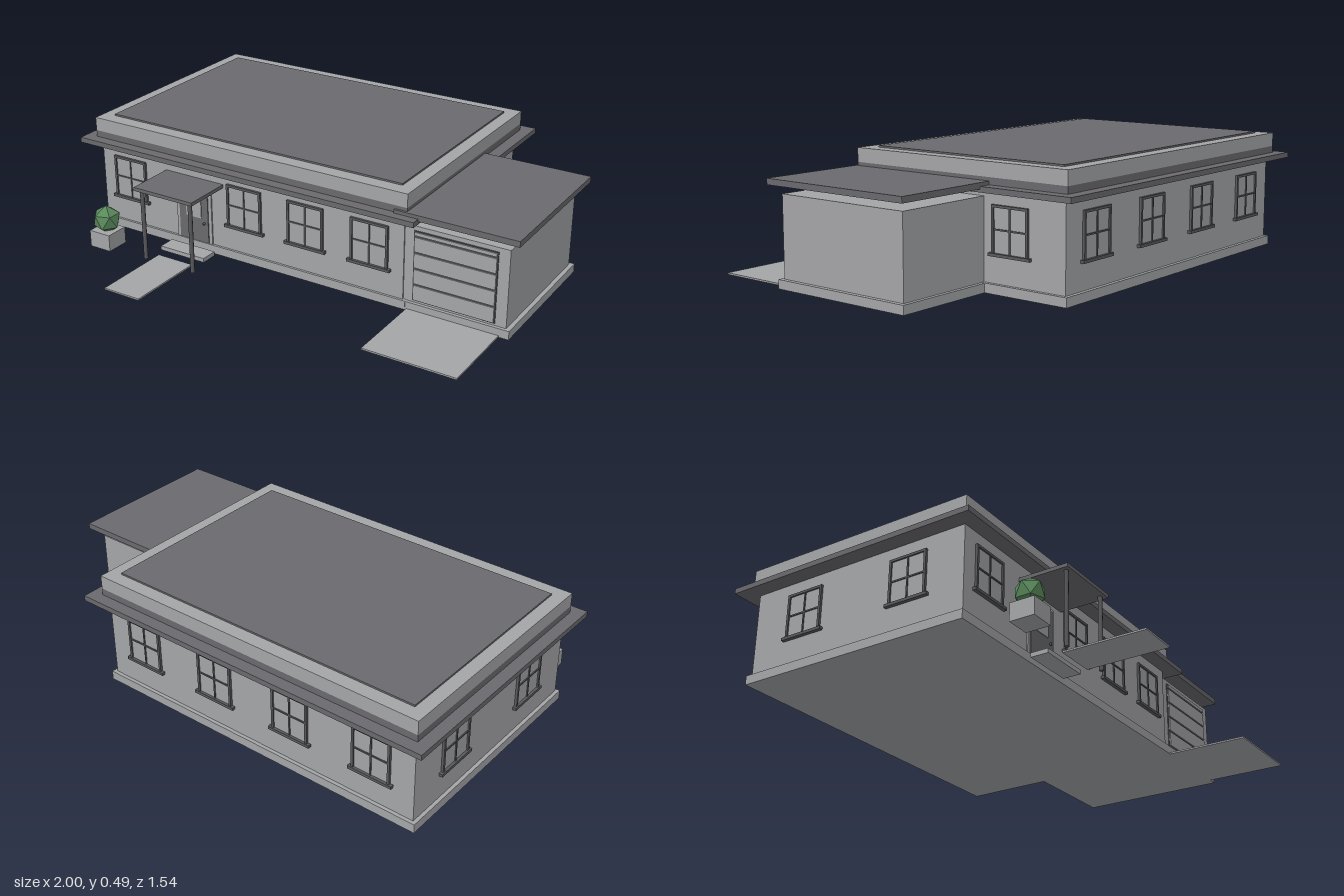
import * as THREE from 'three';

const mat = (name, color) => {
  const m = new THREE.MeshStandardMaterial({ color });
  m.name = name;
  return m;
};

export function createModel() {
  const house = new THREE.Group();
  house.name = 'house';
  const wall = mat('light grey render', 0xa4a5a7);
  const roof = mat('dark grey roofing', 0x6a696d);
  const trim = mat('charcoal trim', 0x59595d);
  const glass = mat('pale glass', 0xa2a4a6);
  const leaf = mat('leaf green', 0x5a8a5c);

  // Box given by its minimum and maximum on each axis
  const box = (name, material, [x0, x1], [y0, y1], [z0, z1], parent = house) => {
    const mesh = new THREE.Mesh(new THREE.BoxGeometry(x1 - x0, y1 - y0, z1 - z0), material);
    mesh.position.set((x0 + x1) / 2, (y0 + y1) / 2, (z0 + z1) / 2);
    mesh.name = name;
    parent.add(mesh);
    return mesh;
  };

  // Main block
  box('mainPlinth', wall, [-0.948, 0.542], [0, 0.037], [-0.715, 0.29]);
  box('mainWalls', wall, [-0.933, 0.527], [0.037, 0.382], [-0.7, 0.28]);
  box('mainEave', roof, [-1, 0.595], [0.38, 0.402], [-0.77, 0.342]);
  box('roofBand', roof, [-0.95, 0.545], [0.402, 0.43], [-0.72, 0.296]);
  box('parapet', wall, [-0.95, 0.545], [0.43, 0.487], [-0.72, 0.296]);
  box('roofDeck', roof, [-0.895, 0.49], [0.487, 0.494], [-0.663, 0.236]);

  // Garage wing
  box('garagePlinth', wall, [0.53, 0.973], [0, 0.036], [-0.345, 0.289]);
  box('garageWalls', wall, [0.52, 0.955], [0.036, 0.356], [-0.33, 0.275]);
  box('garageRoof', roof, [0.493, 1], [0.392, 0.416], [-0.37, 0.306]);

  // Garage door: dark backing showing between four light panels
  box('garageDoorBacking', trim, [0.567, 0.91], [0.045, 0.338], [0.274, 0.279]);
  const seams = [0.045, 0.115, 0.182, 0.249, 0.316];
  for (let i = 0; i < 4; i++) {
    box('garageDoorPanel', wall, [0.571, 0.906], [seams[i] + 0.004, seams[i + 1] - 0.003], [0.276, 0.284]);
  }
  box('garageDoorHead', wall, [0.571, 0.906], [0.32, 0.334], [0.276, 0.284]);

  // Window facing +z, origin on the wall at the foot of the sill
  const addWindow = (x, z, turn) => {
    const g = new THREE.Group();
    g.name = 'window';
    g.position.set(x, 0.14, z);
    g.rotation.y = turn;
    box('pane', glass, [-0.08, 0.08], [0.01, 0.184], [-0.002, 0.004], g);
    for (const s of [-1, 1]) box('frameSide', trim, [s * 0.078 - 0.005, s * 0.078 + 0.005], [0.008, 0.19], [-0.002, 0.01], g);
    box('frameHead', trim, [-0.083, 0.083], [0.18, 0.19], [-0.002, 0.01], g);
    box('mullion', trim, [-0.003, 0.003], [0.01, 0.184], [-0.002, 0.008], g);
    box('crossbar', trim, [-0.08, 0.08], [0.096, 0.102], [-0.002, 0.008], g);
    box('sill', trim, [-0.095, 0.095], [0, 0.012], [-0.002, 0.015], g);
    house.add(g);
  };
  for (const x of [-0.785, -0.203, 0.088, 0.378]) addWindow(x, 0.28, 0);
  for (const x of [-0.75, -0.385, -0.02, 0.345]) addWindow(x, -0.7, Math.PI);
  for (const z of [-0.455, 0.035]) addWindow(-0.933, z, -Math.PI / 2);
  addWindow(0.527, -0.455, Math.PI / 2);

  // Front door
  box('doorSurround', wall, [-0.543, -0.366], [0.037, 0.283], [0.278, 0.286]);
  box('doorLeaf', roof, [-0.527, -0.382], [0.04, 0.27], [0.28, 0.29]);
  box('doorWindow', glass, [-0.491, -0.414], [0.147, 0.222], [0.288, 0.293]);
  const knob = new THREE.Mesh(new THREE.SphereGeometry(0.006, 8, 6), trim);
  knob.position.set(-0.4, 0.127, 0.294);
  knob.name = 'doorKnob';
  house.add(knob);

  // Porch canopy, posts and step
  box('porchCanopy', roof, [-0.596, -0.306], [0.306, 0.321], [0.278, 0.492]);
  for (const x of [-0.571, -0.331]) {
    const post = new THREE.Mesh(new THREE.CylinderGeometry(0.009, 0.009, 0.306, 8), trim);
    post.position.set(x, 0.153, 0.47);
    post.name = 'porchPost';
    house.add(post);
  }
  box('doorStep', wall, [-0.56, -0.34], [0.004, 0.022], [0.31, 0.385]);

  // Paving
  box('gardenPath', wall, [-0.537, -0.367], [0, 0.007], [0.43, 0.77]);
  box('driveway', wall, [0.548, 0.933], [0, 0.007], [0.28, 0.63]);

  // Planter with a faceted shrub, one vertex pointing up
  box('planter', wall, [-0.836, -0.734], [0.002, 0.074], [0.405, 0.507]);
  const shrubShape = new THREE.IcosahedronGeometry(0.061, 0);
  shrubShape.rotateZ(Math.atan(2 / (1 + Math.sqrt(5))));
  const shrub = new THREE.Mesh(shrubShape, leaf);
  shrub.position.set(-0.785, 0.119, 0.455);
  shrub.name = 'shrub';
  house.add(shrub);

  return house;
}
